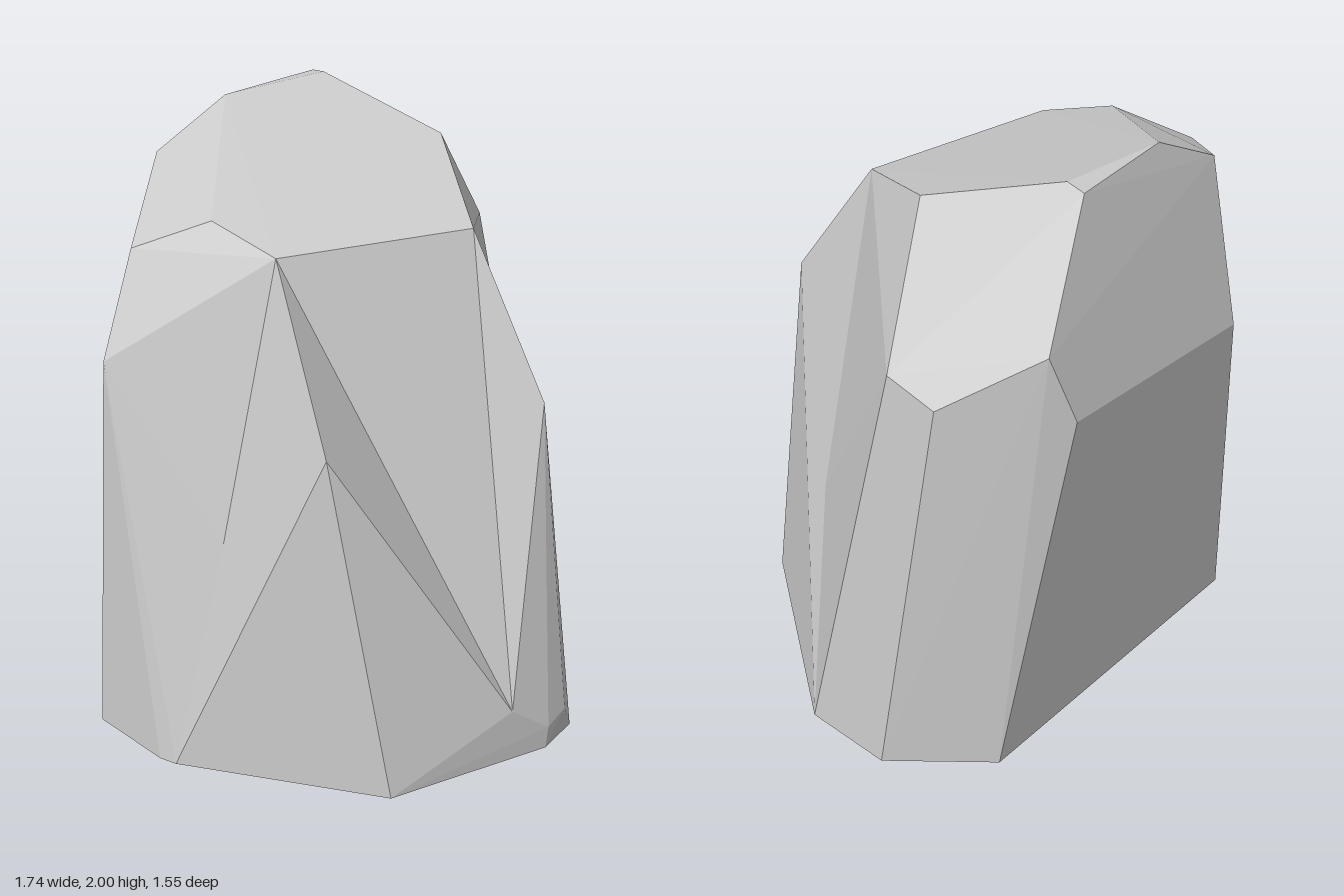
import * as THREE from 'three';
import { ConvexGeometry } from 'three/addons/geometries/ConvexGeometry.js';

const v = (p) => new THREE.Vector3(...p);

// Corners shared by the boulder body and the two front ridges
const capLeft = [-0.46, 1.71, 0.15];
const capRight = [0.2, 1.7, 0.32];
const notchTip = [0.01, 0.2, 0.755];
const footLeft = [-0.43, 0.01, 0.66];
const sideLeft = [-0.84, 0.015, 0.06];
const sideRight = [0.85, 0, 0.05];
const toe = [[0.16, 0.005, 0.765], [0.16, 0.09, 0.775], [0.26, 0.11, 0.75], [0.33, 0, 0.71]];

// Remaining foot of the rock, round the back
const foot = [
  [-0.86, 0.015, 0], [-0.87, 0.015, -0.32], [-0.59, 0.01, -0.57],
  [0.63, 0, -0.57], [0.87, 0, -0.27],
];

// Shoulder where the walls turn in
const shoulder = [
  [0.79, 1.46, -0.27], [0.8, 1.42, -0.46], [0.61, 1.62, -0.73], [0.53, 1.38, -0.775],
  [-0.34, 1.28, -0.73], [-0.83, 1.34, -0.26],
];

// Rim of the sloping top facet
const cap = [
  [0.45, 1.86, -0.11], [0.31, 2, -0.55], [0.32, 1.99, -0.62], [-0.08, 1.985, -0.59],
  [-0.35, 1.84, -0.61], [-0.68, 1.67, -0.3], [-0.52, 1.78, -0.09],
];

export function createModel() {
  const rock = new THREE.Group();
  rock.name = 'rock';
  const material = new THREE.MeshStandardMaterial({ color: 0xcccccc, flatShading: true });

  const addChunk = (name, corners) => {
    const mesh = new THREE.Mesh(new ConvexGeometry(corners.map(v)), material);
    mesh.name = name;
    rock.add(mesh);
  };

  // Main mass, with the recessed front facet
  addChunk('boulderBody', [
    capLeft, capRight, notchTip, footLeft, sideLeft, sideRight,
    ...toe, ...foot, ...shoulder, ...cap,
  ]);

  // Ridges standing out either side of the recess
  addChunk('leftFrontRidge', [[-0.56, 1.19, 0.505], capLeft, notchTip, footLeft, sideLeft]);
  addChunk('rightFrontRidge', [[0.19, 1.22, 0.67], capRight, notchTip, sideRight, ...toe]);

  return rock;
}
